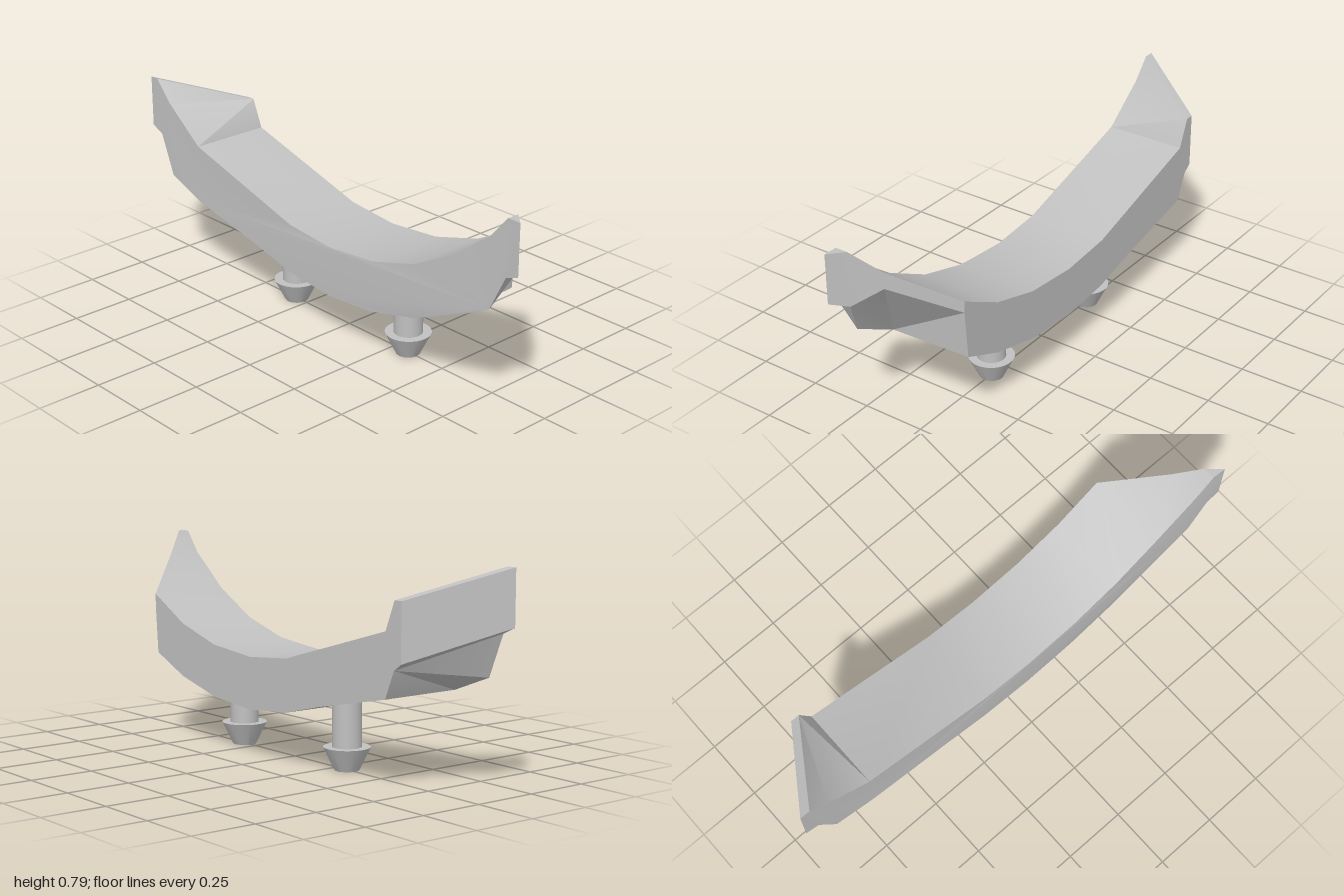
import * as THREE from 'three';
import { toCreasedNormals } from 'three/addons/utils/BufferGeometryUtils.js';

const v = (x, y, z) => new THREE.Vector3(x, y, z);
const XL = -0.157, XR = 0.168;

// Collects polygons and winds every triangle towards a given outward direction
class Skin {
  constructor() { this.pos = []; }
  add(points, outward, drop = null) {
    const o = v(...outward);
    let tris;
    if (drop === 'x') {
      tris = THREE.ShapeUtils.triangulateShape(points.map(p => new THREE.Vector2(p.z, p.y)), []);
    } else {
      tris = [];
      for (let i = 1; i < points.length - 1; i++) tris.push([0, i, i + 1]);
    }
    for (const t of tris) {
      let [a, b, c] = t.map(i => points[i]);
      const n = b.clone().sub(a).cross(c.clone().sub(a));
      if (n.dot(o) < 0) [b, c] = [c, b];
      for (const p of [a, b, c]) this.pos.push(p.x, p.y, p.z);
    }
  }
  geometry(crease) {
    const g = new THREE.BufferGeometry();
    g.setAttribute('position', new THREE.Float32BufferAttribute(this.pos, 3));
    return toCreasedNormals(g, crease);
  }
}

function barGeometry() {
  const s = new Skin();
  // Middle profiles, back to front, as [z, y]
  const topZY = [[-0.71, 0.57], [-0.16, 0.41], [0.06, 0.39], [0.29, 0.41], [0.5, 0.47], [0.69, 0.57]];
  const botZY = [[-0.71, 0.335], [-0.35, 0.258], [-0.16, 0.21], [0.06, 0.19], [0.28, 0.206], [0.5, 0.26]];
  const topL = topZY.map(([z, y]) => v(XL, y, z)), topR = topZY.map(([z, y]) => v(XR, y, z));
  const botL = botZY.map(([z, y]) => v(XL, y, z)), botR = botZY.map(([z, y]) => v(XR, y, z));

  // Front end: the top runs on and is cut by a diagonal plane
  topL.push(v(-0.163, 0.705, 0.87), v(-0.168, 0.79, 0.945));
  topR.push(v(-0.03, 0.705, 0.87), v(-0.12, 0.79, 0.945));
  const tip = v(-0.17, 0.79, 1), tipLow = v(-0.17, 0.595, 1);
  const p2 = v(-0.12, 0.575, 0.945), p3 = v(-0.03, 0.64, 0.87), p4 = v(XR, 0.525, 0.69);
  const p5 = v(XR, 0.335, 0.675), q1 = v(XL, 0.335, 0.69);
  const q2 = v(-0.163, 0.43, 0.87), q3 = v(-0.168, 0.575, 0.945);
  botL.push(q1);
  botR.push(p5);

  // Top and underside strips
  const strip = (a, b, out) => {
    for (let i = 0; i < a.length - 1; i++) s.add([a[i], a[i + 1], b[i + 1], b[i]], out);
  };
  strip(topL, topR, [0, 1, 0]);
  strip(botL, botR, [0, -1, 0]);
  s.add([topL[7], tip, topR[7]], [0, 1, 0]);

  // Diagonal front face
  const diag = [0.67, 0, 0.74];
  s.add([tip, tipLow, p2, topR[7]], diag);
  s.add([topR[7], p2, p3, topR[6]], diag);
  s.add([topR[6], p3, p4, topR[5]], diag);
  // Notch under the front face
  s.add([tipLow, q3, p2], [0, -1, 0]);
  for (const f of [[p2, q3, q2], [p2, q2, q1], [p2, q1, p3], [p3, q1, p4], [p4, q1, p5]]) s.add(f, [0.3, -0.4, 1]);

  // Back end: raised slanting lip with a thin upper edge
  const A = topL[0], B = topR[0], A2 = botL[0], B2 = botR[0];
  const C = v(XR, 0.68, -0.755), D = v(XL, 0.79, -0.96), E = v(XL, 0.705, -0.885);
  const CO = v(XR, 0.68, -0.79), DO = v(XL, 0.79, -1);
  const K = v(XR, 0.465, -0.79), KL = v(XL, 0.585, -1);
  const F = v(XR, 0.44, -0.755), G = v(XL, 0.56, -0.945), H = v(XL, 0.4, -0.88);
  for (const f of [[A, B, C], [A, C, E], [E, C, D]]) s.add(f, [0, 0.7, 0.7]);
  s.add([C, D, DO, CO], [0, 1, 0]);
  s.add([CO, DO, KL, K], [0.5, 0, -1]);
  s.add([K, KL, G, F], [0, -1, 0]);
  for (const f of [[F, G, H], [F, H, A2], [F, A2, B2]]) s.add(f, [0.5, -0.6, -0.7]);

  // Long sides
  s.add([...topR.slice(0, 6), p4, ...botR.slice().reverse(), F, K, CO, C], [1, 0, 0], 'x');
  s.add([...topL, tip, tipLow, q3, q2, ...botL.slice().reverse(), H, G, KL, DO, D, E], [-1, 0, 0], 'x');
  return s.geometry(0.42);
}

function pegGeometry() {
  const profile = [[0, 0], [0.046, 0], [0.088, 0.087], [0.055, 0.087], [0.055, 0.3], [0, 0.3]];
  return toCreasedNormals(new THREE.LatheGeometry(profile.map(p => new THREE.Vector2(...p)), 32), 0.5);
}

export function createModel() {
  const group = new THREE.Group();
  const grey = new THREE.MeshStandardMaterial({ color: 0xc0c0c0 });
  grey.name = 'light grey';

  // Curved bar
  const bar = new THREE.Mesh(barGeometry(), grey);
  bar.name = 'curvedBar';
  group.add(bar);

  // Push-in pegs
  const peg = pegGeometry();
  for (const [name, z] of [['frontPeg', 0.322], ['backPeg', -0.308]]) {
    const m = new THREE.Mesh(peg, grey);
    m.name = name;
    m.position.z = z;
    group.add(m);
  }
  return group;
}
